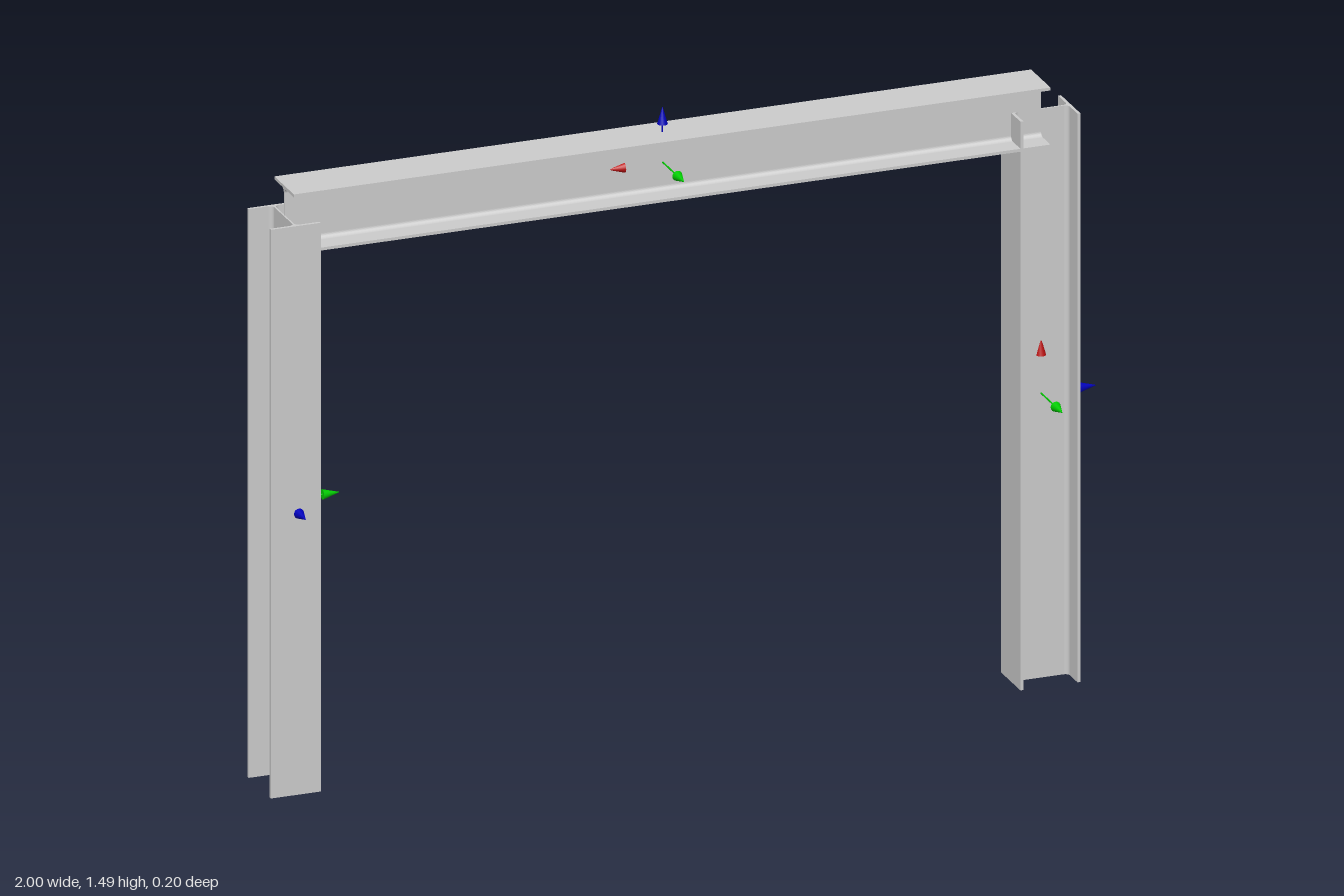
import * as THREE from 'three';

const DEPTH = 0.143, WIDTH = 0.119, FLANGE = 0.007, WEB = 0.004, FILLET = 0.0108;
const X = new THREE.Vector3(1, 0, 0), Y = new THREE.Vector3(0, 1, 0), Z = new THREE.Vector3(0, 0, 1);
const steel = new THREE.MeshStandardMaterial({ color: 0xcccccc });
const red = new THREE.MeshStandardMaterial({ color: 0xbb1111 });
const green = new THREE.MeshStandardMaterial({ color: 0x00cc00 });
const blue = new THREE.MeshStandardMaterial({ color: 0x0000bb });

// Rolled I-section with filleted web roots: width on x, depth on y
function sectionShape() {
  const w = WIDTH / 2, d = DEPTH / 2, f = d - FLANGE, t = WEB / 2, r = FILLET;
  const s = new THREE.Shape();
  s.moveTo(-w, -d);
  s.lineTo(w, -d);
  s.lineTo(w, -f);
  s.lineTo(t + r, -f);
  s.absarc(t + r, -f + r, r, -Math.PI / 2, -Math.PI, true);
  s.lineTo(t, f - r);
  s.absarc(t + r, f - r, r, Math.PI, Math.PI / 2, true);
  s.lineTo(w, f);
  s.lineTo(w, d);
  s.lineTo(-w, d);
  s.lineTo(-w, f);
  s.lineTo(-t - r, f);
  s.absarc(-t - r, f - r, r, Math.PI / 2, 0, true);
  s.lineTo(-t, -f + r);
  s.absarc(-t - r, -f + r, r, 0, -Math.PI / 2, true);
  s.lineTo(-w, -f);
  s.closePath();
  return s;
}

// Thin shaft and cone head pointing along dir
function axisArrow(name, dir, material) {
  const length = 0.133, head = 0.042;
  const arrow = new THREE.Group();
  arrow.name = name;
  const shaft = new THREE.Mesh(new THREE.CylinderGeometry(0.0018, 0.0018, length - head, 8), material);
  shaft.name = name + 'Shaft';
  shaft.position.y = (length - head) / 2;
  const tip = new THREE.Mesh(new THREE.ConeGeometry(0.012, head, 16), material);
  tip.name = name + 'Head';
  tip.position.y = length - head / 2;
  arrow.add(shaft, tip);
  arrow.quaternion.setFromUnitVectors(Y, dir);
  return arrow;
}

// Steel member with its local axis marker; local x runs along the member
function member(name, length, position, xAxis, yAxis, zAxis) {
  const group = new THREE.Group();
  group.name = name;
  const geometry = new THREE.ExtrudeGeometry(sectionShape(), { depth: length, bevelEnabled: false, curveSegments: 6 });
  geometry.translate(0, 0, -length / 2);
  geometry.applyMatrix4(new THREE.Matrix4().makeBasis(Y, Z, X));
  const profile = new THREE.Mesh(geometry, steel);
  profile.name = name + 'Profile';
  group.add(
    profile,
    axisArrow('lengthArrow', X, red),
    axisArrow('widthArrow', Y, green),
    axisArrow('depthArrow', Z, blue)
  );
  group.quaternion.setFromRotationMatrix(new THREE.Matrix4().makeBasis(xAxis, yAxis, zAxis));
  group.position.set(...position);
  return group;
}

export function createModel() {
  const model = new THREE.Group();
  model.name = 'portalFrame';
  const left = 0.865, right = -0.94, height = 1.356, z = -0.031;
  model.add(
    member('rightColumn', height, [right, height / 2, z], Y.clone().negate(), X, Z),
    member('leftColumn', height, [left, height / 2, z], Y, Z, X),
    member('topBeam', left - right, [(left + right) / 2, height, z], X.clone().negate(), Z, Y)
  );
  return model;
}
